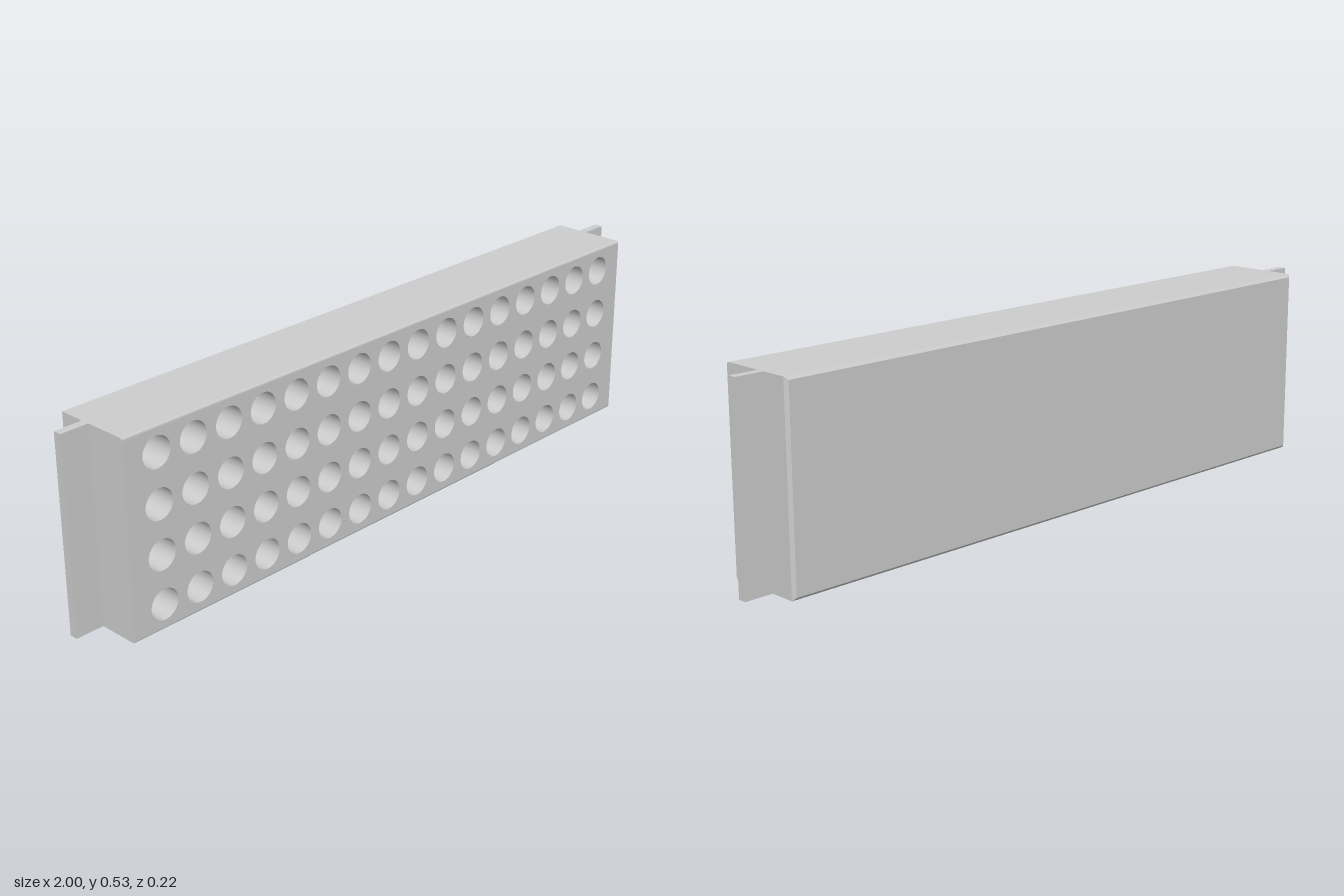
import * as THREE from 'three';
import { mergeGeometries } from 'three/addons/utils/BufferGeometryUtils.js';

const W = 0.922, H = 0.527, D = 0.11;        // half width, height, half depth
const CHAMFER = 0.008, ROUND = 0.006;        // back chamfer, front top/bottom rounding
const HOLE_R = 0.041, HOLE_DEPTH = 0.19, COLS = 16, ROWS = 4, SEG = 40;

// Centres of the drilled grid
function holeCentres() {
  const list = [];
  for (let r = 0; r < ROWS; r++)
    for (let c = 0; c < COLS; c++)
      list.push([(c - (COLS - 1) / 2) * 0.1102, H / 2 + (r - (ROWS - 1) / 2) * 0.1315]);
  return list;
}

// Rectangle corners, counter-clockwise seen from the front
function ring(z, insetX, insetY) {
  const x = W - insetX, y0 = insetY, y1 = H - insetY;
  return [[-x, y0, z], [x, y0, z], [x, y1, z], [-x, y1, z]];
}

// Walls of the block lofted from back to front, with the back face closed
function shellGeometry() {
  const rings = [ring(-D, CHAMFER, CHAMFER), ring(-D + CHAMFER, 0, 0)];
  for (let i = 0; i <= 3; i++) {
    const a = (i / 3) * Math.PI / 2;
    rings.push(ring(D - ROUND + ROUND * Math.sin(a), 0, ROUND * (1 - Math.cos(a))));
  }
  const pos = [];
  const quad = (a, b, c, d) => pos.push(...a, ...b, ...c, ...a, ...c, ...d);
  for (let k = 0; k < rings.length - 1; k++)
    for (let i = 0; i < 4; i++) {
      const j = (i + 1) % 4;
      quad(rings[k][i], rings[k][j], rings[k + 1][j], rings[k + 1][i]);
    }
  const [a, b, c, d] = rings[0];
  quad(a, d, c, b);
  const geo = new THREE.BufferGeometry();
  geo.setAttribute('position', new THREE.Float32BufferAttribute(pos, 3));
  geo.computeVertexNormals();
  return geo;
}

// Front face pierced by the grid of holes
function faceGeometry() {
  const shape = new THREE.Shape([
    new THREE.Vector2(-W, ROUND), new THREE.Vector2(W, ROUND),
    new THREE.Vector2(W, H - ROUND), new THREE.Vector2(-W, H - ROUND),
  ]);
  for (const [x, y] of holeCentres())
    shape.holes.push(new THREE.Path().absarc(x, y, HOLE_R, 0, Math.PI * 2, true));
  return new THREE.ShapeGeometry(shape, SEG).translate(0, 0, D);
}

// Round wall and flat floor of every blind hole
function holesGeometry() {
  const parts = [];
  for (const [x, y] of holeCentres()) {
    parts.push(
      new THREE.CylinderGeometry(HOLE_R, HOLE_R, HOLE_DEPTH, SEG, 1, true)
        .rotateX(Math.PI / 2).rotateZ(Math.PI / 2).translate(x, y, D - HOLE_DEPTH / 2),
      new THREE.CircleGeometry(HOLE_R, SEG).translate(x, y, D - HOLE_DEPTH));
  }
  return mergeGeometries(parts);
}

export function createModel() {
  const group = new THREE.Group();
  group.name = 'perforatedBlock';
  const grey = new THREE.MeshStandardMaterial({ color: 0xcccccc });
  const greyBoth = new THREE.MeshStandardMaterial({ color: 0xcccccc, side: THREE.DoubleSide });
  const add = (name, geo, mat = grey) => {
    const mesh = new THREE.Mesh(geo, mat);
    mesh.name = name;
    group.add(mesh);
  };

  add('blockShell', shellGeometry());
  add('frontFace', faceGeometry());
  add('blindHoles', holesGeometry(), greyBoth);

  // Thin mounting flanges at both ends
  for (const [name, s] of [['leftFlange', 1], ['rightFlange', -1]])
    add(name, new THREE.BoxGeometry(1 - W, H, 0.023)
      .translate(s * (1 + W) / 2, H / 2, -0.0185));

  return group;
}
